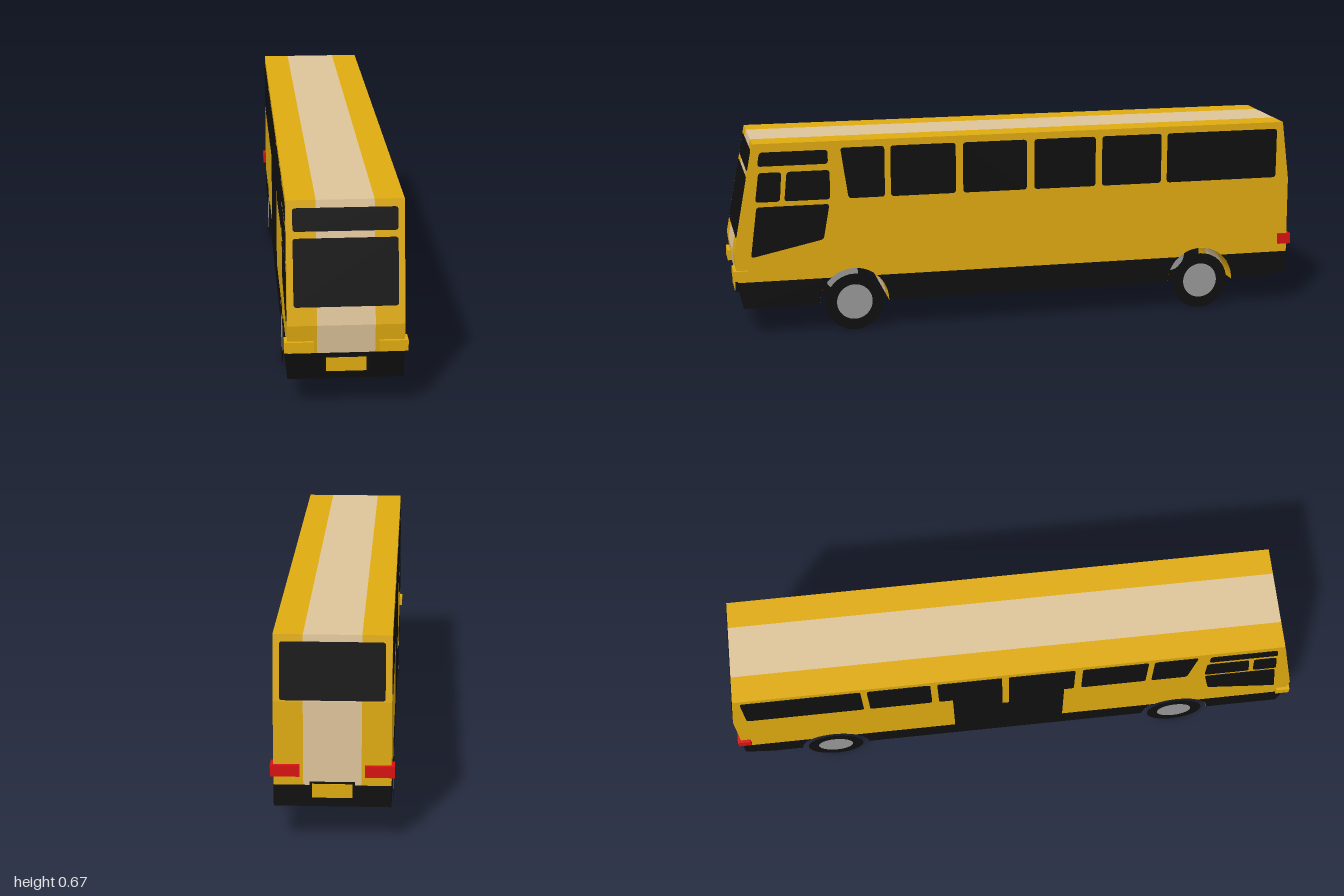
import * as THREE from 'three';

const paint = (name, color, side = THREE.FrontSide) => {
  const m = new THREE.MeshStandardMaterial({ color, side });
  m.name = name;
  return m;
};

// Main dimensions
const HALF = 0.182, STRIPE = 0.09, FLOOR = 0.098, SKIRT = 0.19;
const AXLES = [0.588, -0.662], AXLE_Y = 0.1, WHEEL_R = 0.1, ARCH_R = 0.12;

export function createModel() {
  const bus = new THREE.Group();
  bus.name = 'bus';
  const yellow = paint('yellow', 0xe0ab10, THREE.DoubleSide);
  const tan = paint('tan', 0xdec49a, THREE.DoubleSide);
  const black = paint('black', 0x0f0f0f, THREE.DoubleSide);
  const grey = paint('grey', 0x999999, THREE.DoubleSide);
  const red = paint('red', 0xd81212);

  const add = (name, geo, mat, x = 0, y = 0, z = 0) => {
    const m = new THREE.Mesh(geo, mat);
    m.name = name;
    m.position.set(x, y, z);
    bus.add(m);
    return m;
  };

  // Arc of a wheel arch from angle a to b, as [z, y] points
  const arch = (zc, a, b, n = 20) => Array.from({ length: n + 1 }, (_, i) => {
    const t = a + (b - a) * i / n;
    return [zc + ARCH_R * Math.cos(t), AXLE_Y + ARCH_R * Math.sin(t)];
  });

  // Surface swept across the bus from x0 to x1 along [z, y] points
  const strip = (name, pts, x0, x1, mat) => {
    const v = [];
    for (let i = 0; i < pts.length - 1; i++) {
      const [za, ya] = pts[i], [zb, yb] = pts[i + 1];
      v.push(x0, ya, za, x0, yb, zb, x1, yb, zb, x0, ya, za, x1, yb, zb, x1, ya, za);
    }
    const g = new THREE.BufferGeometry();
    g.setAttribute('position', new THREE.Float32BufferAttribute(v, 3));
    g.computeVertexNormals();
    add(name, g, mat);
  };

  // Flat polygon with optionally rounded corners
  const polygon = (pts, r = 0) => {
    const p = pts.map(([a, b]) => new THREE.Vector2(a, b));
    if (!r) return new THREE.Shape(p);
    const s = new THREE.Shape();
    p.forEach((c, i) => {
      const prev = p[(i + p.length - 1) % p.length], next = p[(i + 1) % p.length];
      const a = c.clone().add(prev.clone().sub(c).setLength(r));
      const b = c.clone().add(next.clone().sub(c).setLength(r));
      if (i) s.lineTo(a.x, a.y); else s.moveTo(a.x, a.y);
      s.quadraticCurveTo(c.x, c.y, b.x, b.y);
    });
    s.closePath();
    return s;
  };
  const rect = (a, b, c, d) => [[a, c], [b, c], [b, d], [a, d]];

  // Body shell: roof, front, back, floor and arch tunnels
  const roofFront = [0.922, 0.667], chin = [0.995, 0.285], skirtFront = [0.984, SKIRT];
  const floorFront = [0.968, FLOOR], floorRear = [-0.89, FLOOR], tail = [-0.99, 0.12];
  const skirtRear = [-0.989, SKIRT], waistRear = [-0.987, 0.46], roofRear = [-0.96, 0.667];
  const upper = [skirtRear, waistRear, roofRear, roofFront, chin, skirtFront];
  const under = [floorFront];
  for (const z of AXLES) {
    under.push([z + ARCH_R, FLOOR], ...arch(z, 0, Math.PI), [z - ARCH_R, FLOOR]);
  }
  under.push(floorRear, tail);
  for (const [name, a, b, mat] of [['rightShell', -HALF, -STRIPE, yellow],
    ['centreStripe', -STRIPE, STRIPE, tan], ['leftShell', STRIPE, HALF, yellow]]) {
    strip(name, upper, a, b, mat);
    strip(name + 'Underside', under, a, b, mat);
  }
  strip('frontSkirt', [skirtFront, floorFront], -HALF, HALF, black);
  strip('rearSkirt', [tail, skirtRear], -HALF, HALF, black);

  // Side walls, split at the skirt line and cut around the wheels
  const cut = Math.asin((SKIRT - AXLE_Y) / ARCH_R);
  const [f, r] = AXLES;
  const wall = polygon([...upper, ...arch(f, cut, Math.PI - cut), ...arch(r, cut, Math.PI - cut)]);
  const skirts = [
    [skirtFront, floorFront, [f + ARCH_R, FLOOR], ...arch(f, 0, cut, 8)],
    [...arch(f, Math.PI - cut, Math.PI, 8), [f - ARCH_R, FLOOR], [r + ARCH_R, FLOOR], ...arch(r, 0, cut, 8)],
    [...arch(r, Math.PI - cut, Math.PI, 8), [r - ARCH_R, FLOOR], floorRear, tail, skirtRear],
  ].map((p) => polygon(p));

  // Side windows as [z, y] outlines
  const top = 0.643, sill = 0.467;
  const windows = [
    [[0.602, sill], [0.477, sill], [0.477, top], [0.627, top]],
    rect(0.456, 0.23, sill, top), rect(0.204, -0.021, sill, top),
    rect(-0.048, -0.268, sill, top), rect(-0.292, -0.508, sill, top),
    rect(-0.53, -0.938, sill, top),
    [[0.908, 0.59], [0.67, 0.59], [0.67, 0.638], [0.9, 0.638]],
    [[0.918, sill], [0.835, sill], [0.828, 0.568], [0.905, 0.568]],
    [[0.82, sill], [0.665, sill], [0.665, 0.568], [0.81, 0.568]],
    [[0.938, 0.275], [0.69, 0.328], [0.668, 0.45], [0.915, 0.45]],
  ];
  const sidePanel = (name, shapes, x, mat) =>
    add(name, new THREE.ShapeGeometry(shapes).rotateY(-Math.PI / 2), mat, x);
  const sidePlate = (name, shapes, x) =>
    add(name, new THREE.ExtrudeGeometry(shapes, { depth: 0.004, bevelEnabled: false })
      .translate(0, 0, -0.002).rotateY(-Math.PI / 2), black, x);

  for (const s of [1, -1]) {
    const side = s > 0 ? 'left' : 'right';
    sidePanel(side + 'Wall', wall, s * HALF, yellow);
    sidePanel(side + 'Skirt', skirts, s * HALF, black);
    sidePlate(side + 'Windows', windows.map((w) => polygon(w, 0.012)), s * HALF);

    // Flat wheels
    for (const z of AXLES) {
      const where = side + (z > 0 ? 'Front' : 'Rear');
      add(where + 'Tyre', new THREE.RingGeometry(0.062, WHEEL_R, 40).rotateY(Math.PI / 2), black, s * 0.183, AXLE_Y, z);
      add(where + 'Hub', new THREE.CircleGeometry(0.062, 40).rotateY(Math.PI / 2), grey, s * 0.183, AXLE_Y, z);
    }

    // Corner bumpers and tail lights
    add(side + 'Bumper', new THREE.BoxGeometry(0.091, 0.035, 0.048), yellow, s * 0.1465, 0.215, 0.976);
    add(side + 'TailLight', new THREE.BoxGeometry(0.091, 0.037, 0.046), red, s * 0.1465, 0.239, -0.977);
  }

  // Double door on the right side, with a slit between the leaves
  sidePlate('door', polygon([[-0.22, SKIRT], [0.17, SKIRT], [0.17, top], [-0.023, top],
    [-0.023, 0.38], [-0.047, 0.38], [-0.047, top], [-0.22, top]]), -HALF);

  // Windscreens and rear window, lying on the sloping ends
  const endWindow = (name, y0, y1, lo, hi, back) => {
    const tilt = Math.atan(Math.abs(lo[0] - hi[0]) / (hi[1] - lo[1]));
    const h = (y1 - y0) / Math.cos(tilt) / 2, y = (y0 + y1) / 2;
    const z = lo[0] + (hi[0] - lo[0]) * (y - lo[1]) / (hi[1] - lo[1]);
    const g = new THREE.ExtrudeGeometry(polygon(rect(-0.162, 0.162, -h, h), 0.01),
      { depth: 0.004, bevelEnabled: false }).translate(0, 0, -0.002);
    add(name, g, black, 0, y, z).rotation.set(-tilt, back ? Math.PI : 0, 0, 'YXZ');
  };
  endWindow('destinationWindow', 0.572, 0.643, chin, roofFront, false);
  endWindow('windscreen', 0.342, 0.551, chin, roofFront, false);
  endWindow('rearWindow', 0.465, 0.645, waistRear, roofRear, true);

  // Number plates in black holders
  for (const [name, y, z, d] of [['front', 0.153, 0.976, 1], ['rear', 0.175, -0.987, -1]]) {
    add(name + 'PlateHolder', new THREE.BoxGeometry(0.14, 0.052, 0.022), black, 0, y, z);
    add(name + 'Plate', new THREE.BoxGeometry(0.125, 0.045, 0.003), yellow, 0, y, z + d * 0.0115);
  }
  return bus;
}
